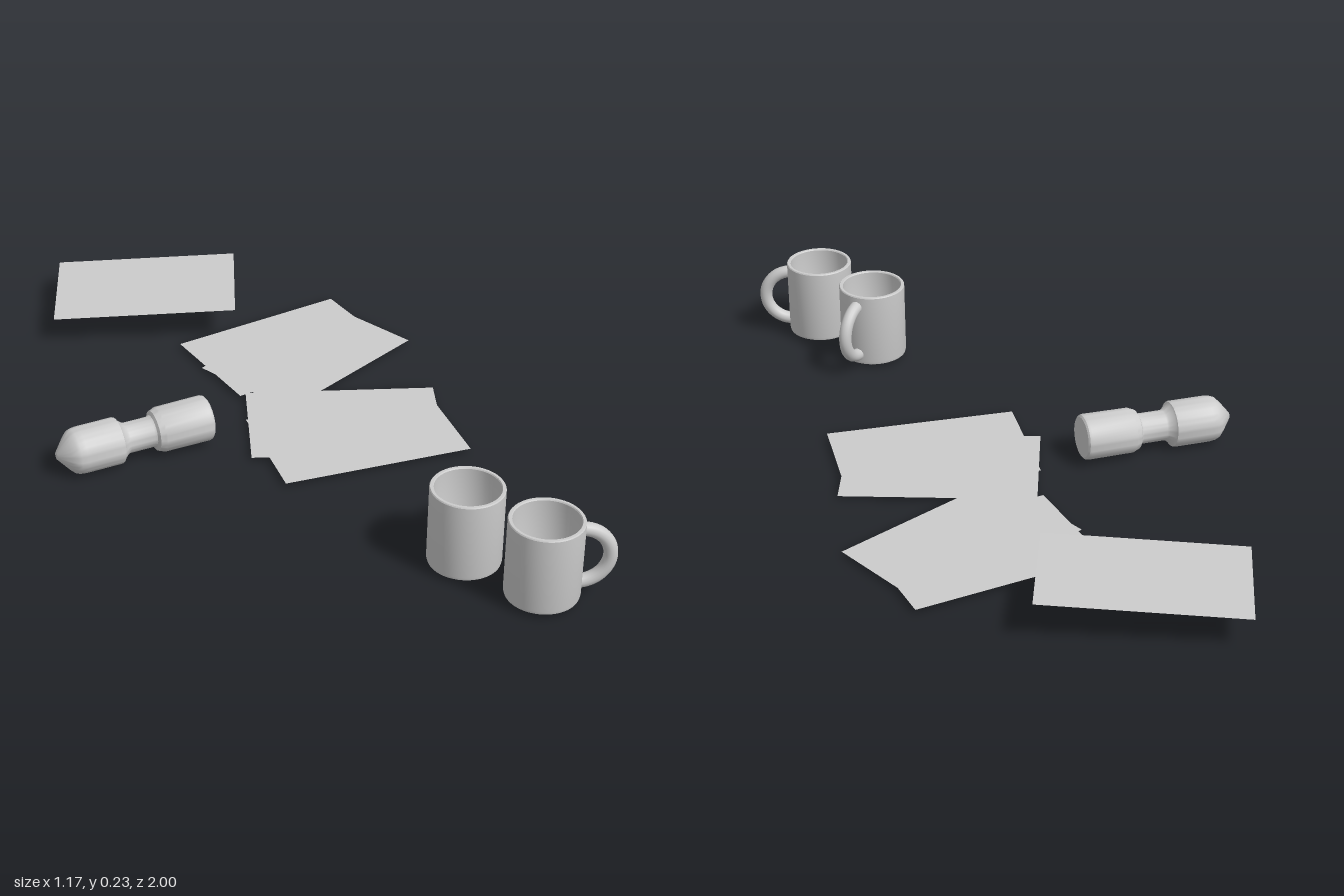
import * as THREE from 'three';
import { toCreasedNormals } from 'three/addons/utils/BufferGeometryUtils.js';

const material = new THREE.MeshStandardMaterial({ color: 0xcccccc });
const sheetMaterial = new THREE.MeshStandardMaterial({ color: 0xcccccc, side: THREE.DoubleSide });

function lathe(points, segments = 48) {
  const profile = points.map(([r, y]) => new THREE.Vector2(r, y));
  return toCreasedNormals(new THREE.LatheGeometry(profile, segments), 0.55);
}

// Straight mug with a hollow inside and a half-ring handle
function makeMug(name, x, z, turn) {
  const mug = new THREE.Group();
  mug.name = name;
  const cup = new THREE.Mesh(lathe([
    [0, 0], [0.086, 0], [0.093, 0.004], [0.095, 0.012], [0.095, 0.217], [0.093, 0.22],
    [0.086, 0.22], [0.084, 0.217], [0.084, 0.03], [0.077, 0.016], [0.06, 0.012], [0, 0.012],
  ]), material);
  cup.name = 'cup';
  const ring = new THREE.TorusGeometry(0.077, 0.018, 16, 32, Math.PI).rotateZ(-Math.PI / 2);
  const handle = new THREE.Mesh(ring, material);
  handle.name = 'handle';
  handle.position.set(0.086, 0.11, 0);
  mug.add(cup, handle);
  mug.position.set(x, 0.013, z);
  mug.rotation.y = turn;
  return mug;
}

// Flat sheet from one corner and its two edge vectors
function makeSheet(name, corner, edgeU, edgeV) {
  const c = new THREE.Vector3(...corner);
  const u = new THREE.Vector3(...edgeU);
  const v = new THREE.Vector3(...edgeV);
  const geometry = new THREE.PlaneGeometry(1, 1).translate(0.5, 0.5, 0);
  const normal = new THREE.Vector3().crossVectors(u, v).normalize();
  geometry.applyMatrix4(new THREE.Matrix4().makeBasis(u, v, normal).setPosition(c));
  const sheet = new THREE.Mesh(geometry, sheetMaterial);
  sheet.name = name;
  return sheet;
}

// Waisted turned bottle lying on its side, pointed at one end
function makeBottle() {
  const bottle = new THREE.Mesh(lathe([
    [0, 0], [0.01, 0.002], [0.045, 0.031], [0.058, 0.044], [0.062, 0.054], [0.064, 0.07],
    [0.064, 0.172], [0.062, 0.177], [0.056, 0.18], [0.044, 0.194], [0.042, 0.2], [0.042, 0.268],
    [0.045, 0.274], [0.055, 0.279], [0.06, 0.292], [0.062, 0.296], [0.063, 0.425],
    [0.061, 0.432], [0.056, 0.436], [0, 0.436],
  ]), material);
  bottle.name = 'bottle';
  const axis = new THREE.Vector3(1, 0.026, -0.095).normalize();
  bottle.quaternion.setFromUnitVectors(new THREE.Vector3(0, 1, 0), axis);
  bottle.position.set(-0.588, 0.066, 0.003);
  return bottle;
}

export function createModel() {
  const model = new THREE.Group();
  model.name = 'mugsAndPapers';

  model.add(makeMug('rearMug', 0.28, 0.715, 0.88));
  model.add(makeMug('frontMug', 0.405, 0.905, -0.25));
  model.add(makeBottle());

  // Raised, slightly tilted sheet, then two overlapping pairs lying flat
  model.add(makeSheet('raisedSheet', [-0.42, 0.085, -0.68], [0.504, 0.023, 0.155], [0.1, 0.01, -0.32]));
  model.add(makeSheet('middleSheetUpper', [-0.005, 0.0165, -0.208], [0.51, 0, -0.115], [-0.075, 0, -0.332]));
  model.add(makeSheet('middleSheetLower', [0.1, 0.014, -0.1], [0.46, 0, -0.25], [-0.16, 0, -0.294]));
  model.add(makeSheet('frontSheetUpper', [-0.03, 0.0165, 0.252], [0.528, 0, 0], [0, 0, -0.335]));
  model.add(makeSheet('frontSheetLower', [-0.075, 0.014, 0.101], [0.51, 0, 0.142], [0.09, 0, -0.323]));

  return model;
}
